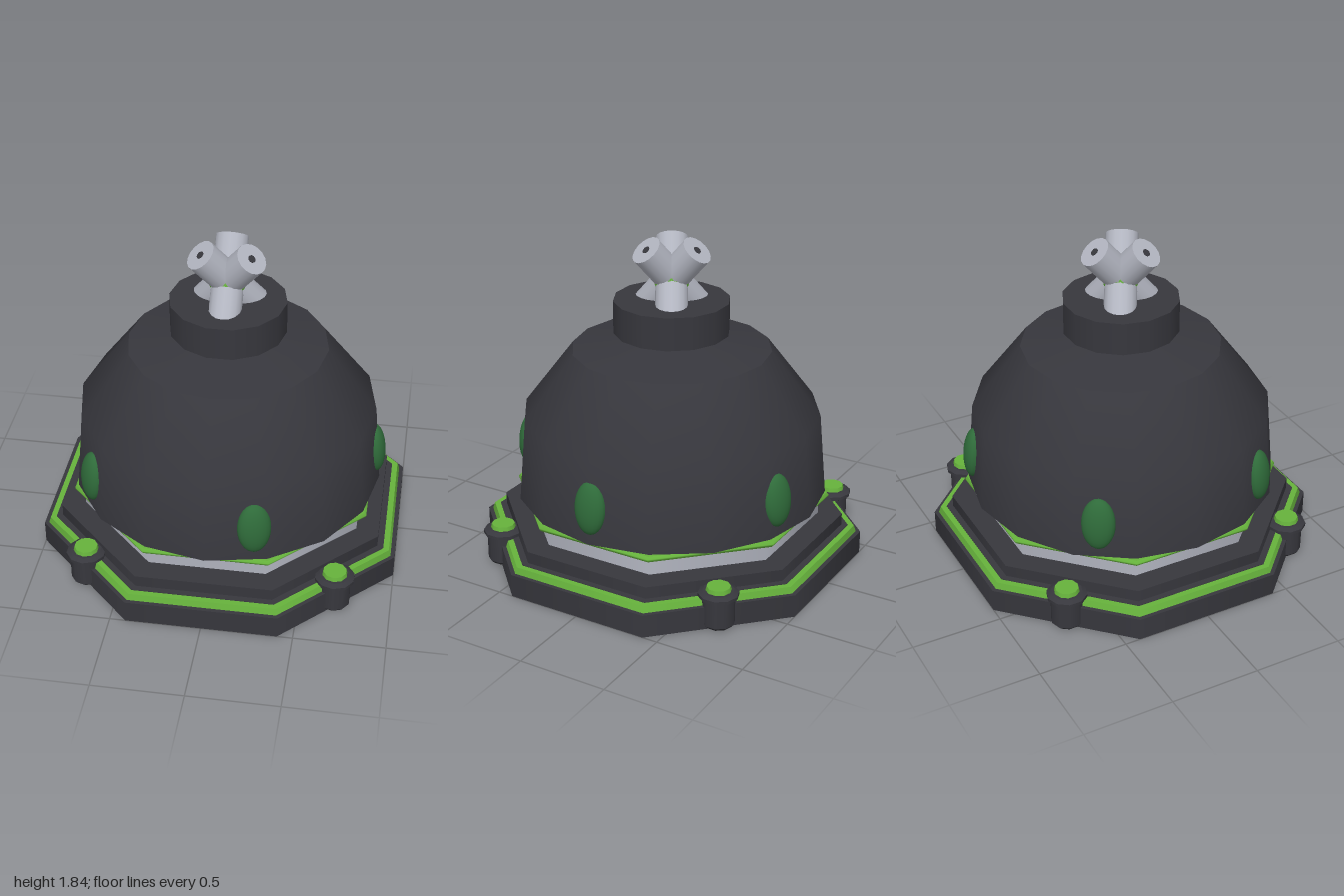
import * as THREE from 'three';
import { mergeGeometries } from 'three/addons/utils/BufferGeometryUtils.js';

export function createModel() {
  const mat = (name, color) => {
    const m = new THREE.MeshStandardMaterial({ color });
    m.name = name;
    return m;
  };
  const dark = mat('charcoal', 0x37373d);
  const silver = mat('silver', 0xb2b5c0);
  const green = mat('brightGreen', 0x66b23c);
  const deepGreen = mat('deepGreen', 0x2f6b3a);

  const model = new THREE.Group();
  const add = (name, geo, material, parent = model) => {
    const mesh = new THREE.Mesh(geo, material);
    mesh.name = name;
    parent.add(mesh);
    return mesh;
  };

  // Revolve each smooth run separately, so the edges between runs stay sharp
  const turned = (sides, start, ...runs) => mergeGeometries(runs.map((run) =>
    new THREE.LatheGeometry(run.map(([r, y]) => new THREE.Vector2(r, y)), sides, start)));
  const drum = (sides, start, r, y0, y1, rTop = r) => turned(sides, start,
    [[0, y0], [r, y0]], [[r, y0], [rTop, y1]], [[rTop, y1], [0, y1]]);

  // Octagons are measured to their flat sides
  const K = 1 / Math.cos(Math.PI / 8);
  const octagon = (a, y0, y1, aTop = a) => drum(8, Math.PI / 8, a * K, y0, y1, aTop * K);

  // Stepped base
  add('baseSlab', octagon(1, 0, 0.13), dark);
  add('baseStripe', octagon(0.978, 0.128, 0.165, 0.966), green);
  add('baseStripeInnerEdge', octagon(0.934, 0.13, 0.168), dark);
  add('baseStep', octagon(0.9, 0.13, 0.235), dark);
  add('silverBand', octagon(0.775, 0.23, 0.345), silver);
  add('greenRim', turned(8, Math.PI / 8,
    [[0.775 * K, 0.332], [0.815 * K, 0.332]],
    [[0.815 * K, 0.332], [0.826 * K, 0.344], [0.826 * K, 0.352], [0.815 * K, 0.365]],
    [[0.815 * K, 0.365], [0.7 * K, 0.365]]), green);

  // Corner posts with green buttons
  for (const sx of [-1, 1]) for (const sz of [-1, 1]) {
    const post = new THREE.Group();
    post.name = 'cornerPost';
    post.position.set(sx * 0.69, 0, sz * 0.69);
    add('postBody', turned(10, 0,
      [[0, 0.008], [0.075, 0.008]],
      [[0.075, 0.008], [0.09, 0.025]],
      [[0.09, 0.025], [0.09, 0.17]],
      [[0.09, 0.17], [0.11, 0.18]],
      [[0.11, 0.18], [0.11, 0.198]],
      [[0.11, 0.198], [0.085, 0.212]],
      [[0.085, 0.212], [0, 0.212]]), dark, post);
    add('postButton', drum(10, 0, 0.07, 0.21, 0.235, 0.064), green, post);
    model.add(post);
  }

  // Dome shell with a shallow cone roof
  add('dome', turned(16, 0,
    [[0, 0.372], [0.873, 0.372]],
    [[0.873, 0.372], [0.832, 0.835], [0.555, 1.2]],
    [[0.555, 1.2], [0, 1.292]]), dark);

  // Five oval lenses set into the wall, leaning with it
  for (let i = 0; i < 5; i++) {
    const holder = new THREE.Group();
    holder.name = 'lensHolder';
    holder.rotation.y = i * Math.PI * 2 / 5;
    const lens = add('lens', new THREE.SphereGeometry(1, 20, 14), deepGreen, holder);
    lens.position.set(0.84, 0.572, 0);
    lens.scale.set(0.057, 0.15, 0.092);
    lens.rotation.z = 0.09;
    model.add(holder);
  }

  // Round collar above the roof
  add('collar', drum(14, Math.PI / 2, 0.322, 1.295, 1.48), dark);

  // Three crossed tubes around a green core
  const cross = new THREE.Group();
  cross.name = 'crossedTubes';
  cross.position.y = 1.597;
  model.add(cross);
  add('core', new THREE.SphereGeometry(0.106, 16, 12), green, cross);
  const half = 0.24;
  for (let i = 0; i < 3; i++) {
    const turn = new THREE.Group();
    turn.name = 'tubeHolder';
    turn.rotation.y = i * Math.PI * 2 / 3;
    const tilt = new THREE.Group();
    tilt.name = 'tiltedTube';
    tilt.rotation.x = -0.715;
    add('tube', new THREE.CylinderGeometry(0.089, 0.089, half * 2, 16), silver, tilt);
    const bore = add('tubeBore', new THREE.CylinderGeometry(0.022, 0.022, 0.004, 10), dark, tilt);
    bore.position.y = half + 0.001;
    turn.add(tilt);
    cross.add(turn);
  }

  return model;
}
